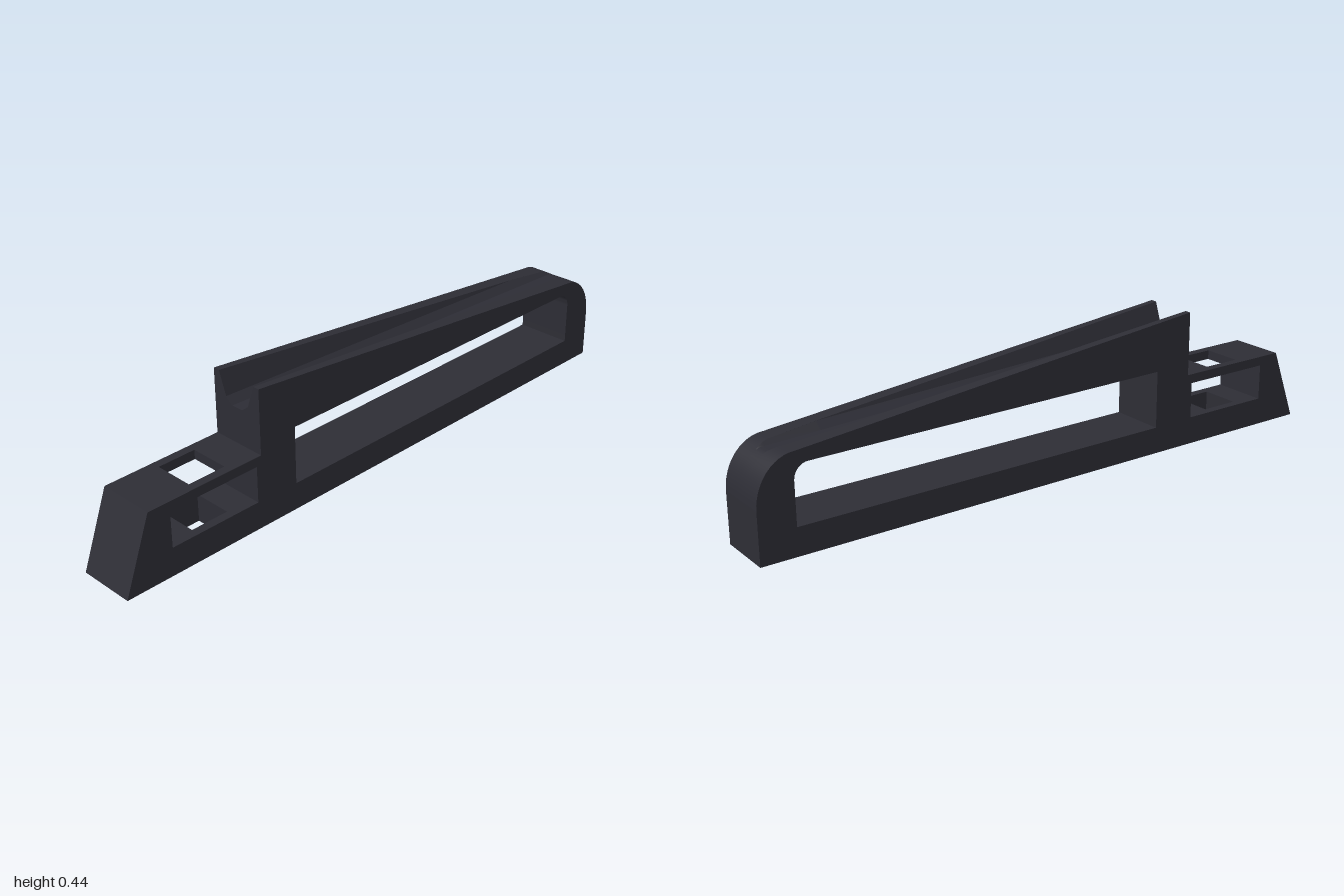
import * as THREE from 'three';
import { toCreasedNormals } from 'three/addons/utils/BufferGeometryUtils.js';

const D = 0.092;              // half thickness
const STEP = -0.515;          // x of the step behind the tail
const DECK = 0.237;           // tail height

// Grid surface through rows of [x, y, z]; it faces left of the row direction
function loft(rows) {
  const n = rows[0].length, index = [];
  for (let i = 0; i < rows.length - 1; i++) {
    for (let j = 0; j < n - 1; j++) {
      const a = i * n + j, b = a + n;
      index.push(a, b, a + 1, b, b + 1, a + 1);
    }
  }
  const g = new THREE.BufferGeometry();
  g.setAttribute('position', new THREE.Float32BufferAttribute(rows.flat(2), 3));
  g.setIndex(index);
  return toCreasedNormals(g, 0.5);
}

// Wall spanning the full thickness along a path of [x, y]
const wall = (path) => loft(path.map(([x, y]) => [[x, y, D], [x, y, -D]]));

const toShape = (pts) => new THREE.Shape(pts.map(([x, y]) => new THREE.Vector2(x, y)));

function flip(g) {
  g.index.array.reverse();
  g.computeVertexNormals();
  return g;
}

// Quarter ellipse from the top round to the right
function corner(cx, cy, rx, ry, n) {
  return Array.from({ length: n + 1 }, (_, i) => {
    const a = (i / n) * Math.PI / 2;
    return [cx + rx * Math.sin(a), cy + ry * Math.cos(a)];
  });
}

// Square slot through the tail
const SLOT = { x: -0.687, hx: 0.063, hz: 0.064 };

// Horizontal face with the slot cut out
function deck(y, x0, x1, faceUp) {
  const s = toShape([[x0, -D], [x1, -D], [x1, D], [x0, D]]);
  const { x, hx, hz } = SLOT;
  s.holes.push(toShape([[x - hx, -hz], [x - hx, hz], [x + hx, hz], [x + hx, -hz]]));
  return new THREE.ShapeGeometry(s).rotateX(faceUp ? -Math.PI / 2 : Math.PI / 2).translate(0, y, 0);
}

// Four inner walls of the slot
function slotWalls(y0, y1) {
  const g = new THREE.CylinderGeometry(Math.SQRT2, Math.SQRT2, y1 - y0, 4, 1, true).rotateY(Math.PI / 4);
  g.scale(SLOT.hx, 1, SLOT.hz).translate(SLOT.x, (y0 + y1) / 2, 0);
  return toCreasedNormals(flip(g), 0.5);
}

export function createModel() {
  const group = new THREE.Group();
  const charcoal = new THREE.MeshStandardMaterial({ color: 0x2d2d35 });
  charcoal.name = 'charcoal';
  const add = (name, geometry) => {
    const mesh = new THREE.Mesh(geometry, charcoal);
    mesh.name = name;
    group.add(mesh);
  };

  // Sloping top line, rounded over at the nose
  const topLine = [[STEP, 0.445], [0.742, 0.3188], ...corner(0.88, 0.16, 0.12, 0.145, 12)];

  // Window outlines, counterclockwise
  const small = [[-0.84, 0.09], [-0.532, 0.09], [-0.532, 0.207], [-0.84, 0.207]];
  const large = [[-0.385, 0.087], [0.886, 0.087],
    ...corner(0.842, 0.222, 0.044, 0.046, 8).reverse(), [-0.385, 0.274]];

  // Flat side faces with both windows
  const side = toShape([[-1, 0], [1, 0], ...[...topLine].reverse(), [STEP, DECK], [-0.912, DECK]]);
  side.holes.push(toShape(small), toShape(large));
  add('frontSide', new THREE.ShapeGeometry(side).translate(0, 0, D));
  add('backSide', flip(new THREE.ShapeGeometry(side).translate(0, 0, -D)));

  // Grooved top: the trough floor falls more gently than the top line, so it runs out at the nose
  const section = ([x, y]) => {
    const floor = 0.352 - 0.0425 * (x - STEP);
    const d = Math.max(y - floor, 0);
    const w = d > 0.02 ? 0.045 + (d - 0.02) * 0.356 : 0.02 + d * 1.25;
    const half = [[D, y], [w, y], [Math.min(0.045, w), Math.min(y, floor + 0.02)], [0.02, Math.min(y, floor)]];
    return [...half, ...half.map(([z, h]) => [-z, h]).reverse()].map(([z, h]) => [x, h, z]);
  };
  add('groovedTop', loft(topLine.map(section)));
  add('noseWall', wall([[1, 0.16], [1, 0]]));

  // Step face showing the groove profile
  const stepProfile = section(topLine[0]).map(([, y, z]) => [z, y]);
  add('stepFace', new THREE.ShapeGeometry(toShape([[-D, DECK], [D, DECK], ...stepProfile]))
    .rotateY(-Math.PI / 2).translate(STEP, 0, 0));

  // Tail and underside
  add('tailSlope', wall([[-1, 0], [-0.912, DECK]]));
  add('tailDeck', deck(DECK, -0.912, STEP, true));
  add('tailWindowCeiling', deck(0.207, -0.84, -0.532, false));
  add('tailWindowFloor', deck(0.09, -0.84, -0.532, true));
  add('underside', deck(0, -1, 1, false));
  add('upperSlot', slotWalls(0.207, DECK));
  add('lowerSlot', slotWalls(0, 0.09));

  // Window walls
  add('tailWindowFrontWall', wall([small[1], small[2]]));
  add('tailWindowRearWall', wall([small[3], small[0]]));
  add('mainWindowWalls', wall([...large, large[0]]));

  return group;
}
